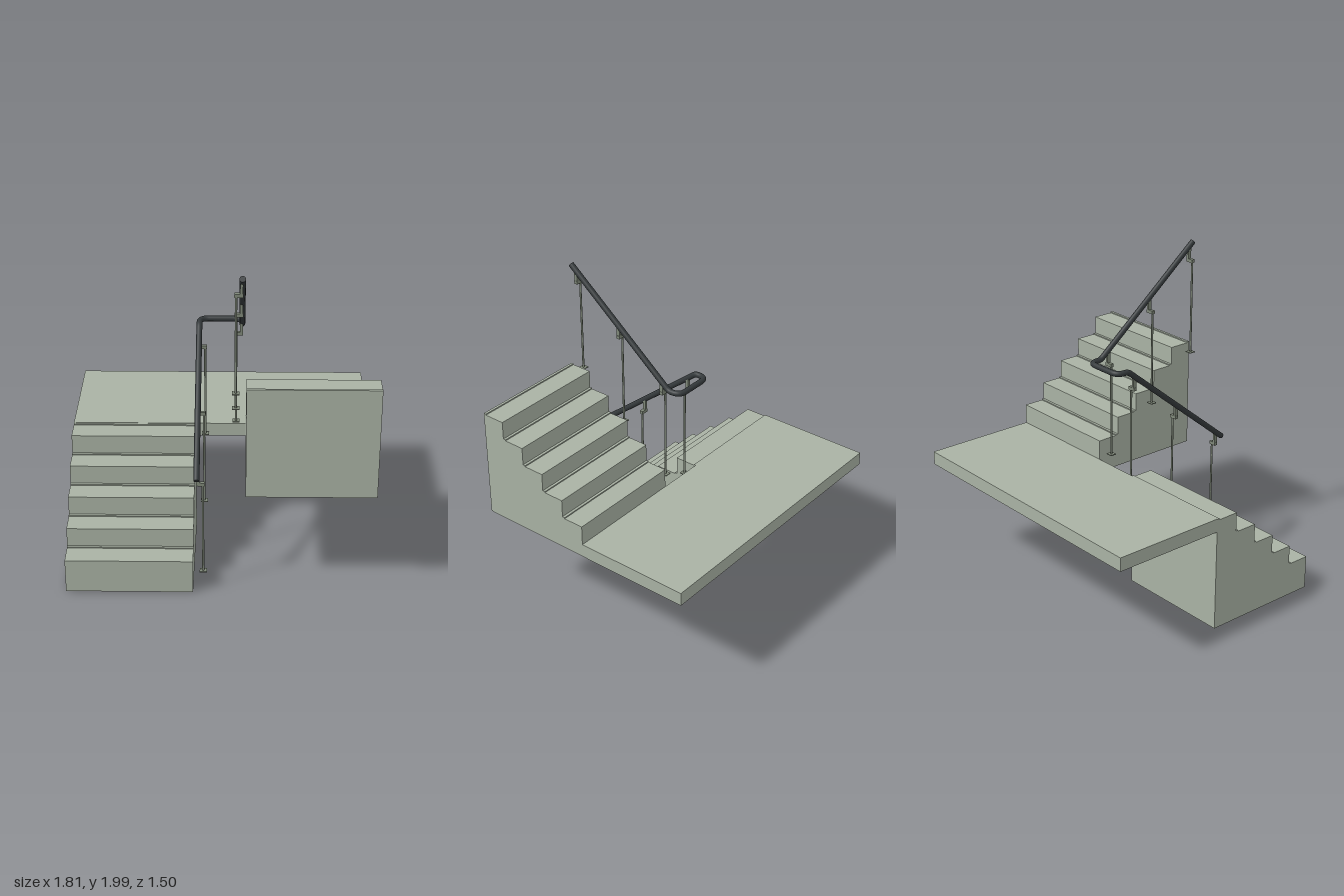
import * as THREE from 'three';

const stone = new THREE.MeshStandardMaterial({ color: 0xa9b2a4 });
stone.name = 'stone';
const postMetal = new THREE.MeshStandardMaterial({ color: 0x7f8879 });
postMetal.name = 'postMetal';
const darkRail = new THREE.MeshStandardMaterial({ color: 0x34393b });
darkRail.name = 'darkRail';

const RAIL_Y = 1.385, BEND_Z = -0.04, SLOPE = 0.81;
const V = (x, y, z) => new THREE.Vector3(x, y, z);

function add(parent, name, geometry, material, x = 0, y = 0, z = 0) {
  const mesh = new THREE.Mesh(geometry, material);
  mesh.name = name;
  mesh.position.set(x, y, z);
  parent.add(mesh);
  return mesh;
}

// Solid flight: stepped side profile (z, y) extruded across its width.
// Each tread ends in a small raised strip along its back edge.
function flight(z0, run, bottom, firstTop, rise, steps, width) {
  const strip = Math.sign(run) * 0.016;
  const shape = new THREE.Shape();
  shape.moveTo(z0, bottom);
  for (let i = 0; i < steps; i++) {
    const y = firstTop + i * rise;
    const back = z0 + (i + 1) * run;
    shape.lineTo(z0 + i * run, y);
    shape.lineTo(back - strip, y);
    shape.lineTo(back - strip, y + 0.007);
    shape.lineTo(back, y + 0.007);
  }
  shape.lineTo(z0 + steps * run, bottom);
  shape.closePath();
  const g = new THREE.ExtrudeGeometry(shape, { depth: width, bevelEnabled: false });
  return g.rotateY(-Math.PI / 2);
}

// Path through corner points, each corner rounded by its own radius.
function roundedPath(points, radii) {
  const path = new THREE.CurvePath();
  let from = points[0];
  for (let i = 1; i < points.length - 1; i++) {
    const p = points[i];
    const a = p.clone().add(points[i - 1].clone().sub(p).setLength(radii[i - 1]));
    const b = p.clone().add(points[i + 1].clone().sub(p).setLength(radii[i - 1]));
    path.add(new THREE.LineCurve3(from, a));
    path.add(new THREE.QuadraticBezierCurve3(a, p, b));
    from = b;
  }
  path.add(new THREE.LineCurve3(from, points[points.length - 1]));
  return path;
}

// Post with foot plate and an elbow bracket reaching up to the rail.
function baluster(railX, postX, z, railY, footY) {
  const group = new THREE.Group();
  group.name = 'baluster';
  const elbowY = railY - 0.08;
  const mid = (railX + postX) / 2;
  const height = elbowY - footY;
  add(group, 'post', new THREE.CylinderGeometry(0.0065, 0.0065, height, 12), postMetal,
    postX, footY + height / 2, z);
  add(group, 'footPlate', new THREE.BoxGeometry(0.042, 0.005, 0.04), postMetal, postX, footY, z);
  add(group, 'bracketArm', new THREE.BoxGeometry(Math.abs(railX - postX) + 0.02, 0.02, 0.022),
    postMetal, mid, elbowY, z);
  add(group, 'bracketStem', new THREE.BoxGeometry(0.016, 0.075, 0.022), postMetal,
    railX, elbowY + 0.0375, z);
  return group;
}

export function createModel() {
  const model = new THREE.Group();
  model.name = 'staircase';

  // Two flights joined by a landing
  add(model, 'lowerFlight', flight(0.735, -0.153, 0, 0.212, 0.1245, 5, 0.75), stone, -0.155);
  add(model, 'upperFlight', flight(-0.03, 0.1465, 0.635, 0.844, 0.118, 5, 0.755), stone, 0.905);
  add(model, 'landing', new THREE.BoxGeometry(1.81, 0.085, 0.72), stone, 0, 0.6775, -0.39);

  // Continuous handrail that turns round above the landing
  const xl = -0.13, xu = 0.125, turnZ = -0.12;
  const points = [
    V(xl, RAIL_Y - SLOPE * (0.735 - BEND_Z), 0.735),
    V(xl, RAIL_Y, BEND_Z),
    V(xl, RAIL_Y, turnZ),
    V(xu, RAIL_Y, turnZ),
    V(xu, RAIL_Y, BEND_Z),
    V(xu, RAIL_Y + SLOPE * (0.695 - BEND_Z), 0.695),
  ];
  const path = roundedPath(points, [0.02, 0.055, 0.055, 0.02]);
  add(model, 'handrail', new THREE.TubeGeometry(path, 240, 0.0175, 16), darkRail);

  // Flat caps on the rail ends
  for (const [end, next] of [[points[0], points[1]], [points[5], points[4]]]) {
    const cap = add(model, 'railCap', new THREE.CircleGeometry(0.0175, 16), darkRail,
      end.x, end.y, end.z);
    cap.lookAt(end.clone().multiplyScalar(2).sub(next));
  }

  // Three balusters for each flight
  const lower = [[0.69, 0.125], [0.35, 0.4], [0.015, 0.675]];
  const upper = [[0.66, 1.28], [0.34, 1.02], [0.015, 0.765]];
  for (const [z, foot] of lower)
    model.add(baluster(-0.122, -0.095, z, RAIL_Y - SLOPE * (z - BEND_Z), foot));
  for (const [z, foot] of upper)
    model.add(baluster(0.12, 0.09, z, RAIL_Y + SLOPE * (z - BEND_Z), foot));

  return model;
}
